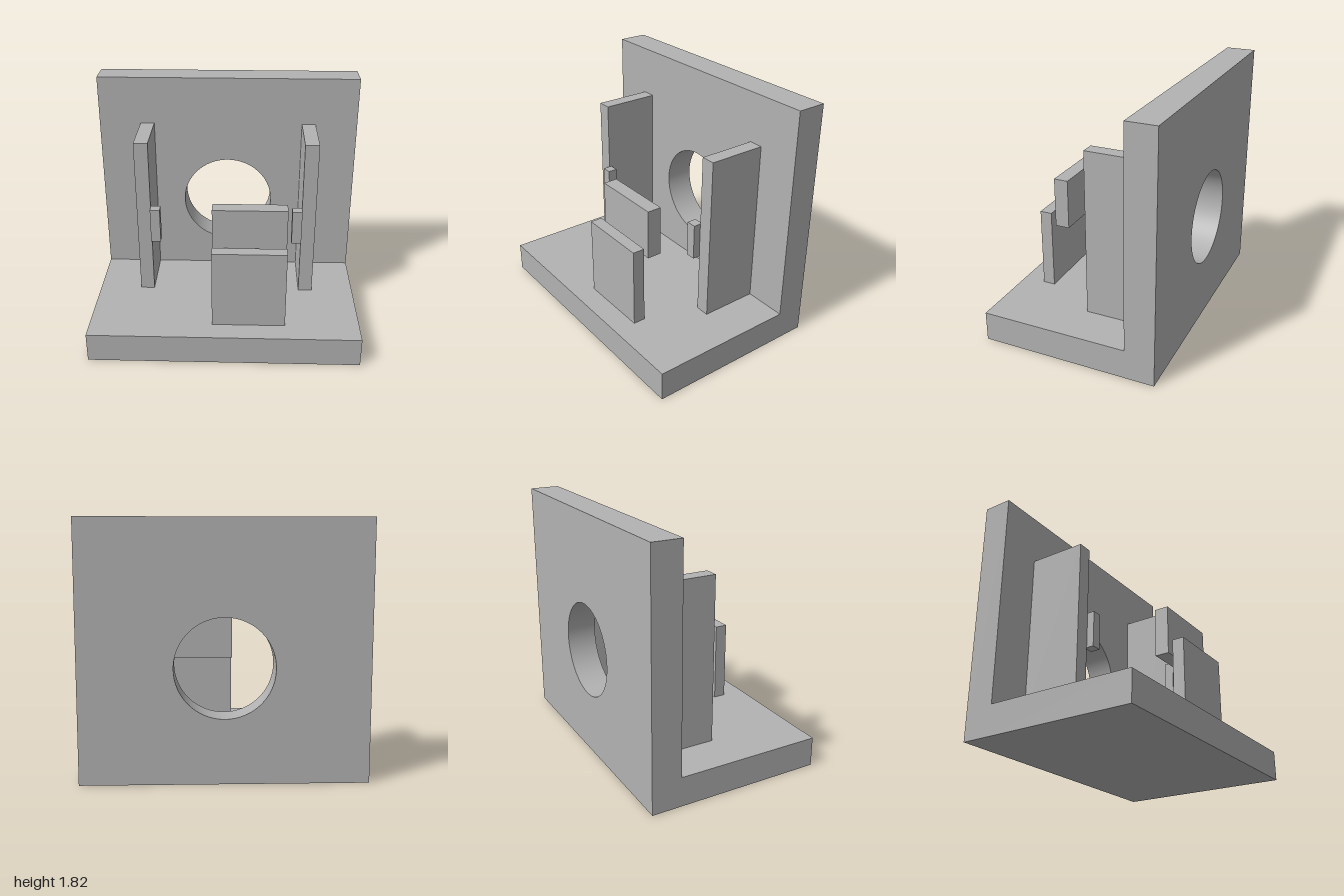
import * as THREE from 'three';
import { toCreasedNormals } from 'three/addons/utils/BufferGeometryUtils.js';

export function createModel() {
  const model = new THREE.Group();
  const grey = new THREE.MeshStandardMaterial({ color: 0xb2b2b2 });
  grey.name = 'plain grey';

  const add = (name, geometry) => {
    const mesh = new THREE.Mesh(geometry, grey);
    mesh.name = name;
    model.add(mesh);
    return mesh;
  };

  // Box given by its limits on each axis
  const block = (name, [x0, x1], [y0, y1], [z0, z1]) =>
    add(name, new THREE.BoxGeometry(x1 - x0, y1 - y0, z1 - z0))
      .position.set((x0 + x1) / 2, (y0 + y1) / 2, (z0 + z1) / 2);

  // Back wall with a round opening
  const outline = new THREE.Shape([
    new THREE.Vector2(-1, 0), new THREE.Vector2(1, 0),
    new THREE.Vector2(1, 1.82), new THREE.Vector2(-1, 1.82),
  ]);
  outline.holes.push(new THREE.Path().absarc(0, 0.806, 0.348, 0, Math.PI * 2, true));
  const wall = new THREE.ExtrudeGeometry(outline, { depth: 0.219, bevelEnabled: false, curveSegments: 64 });
  add('backWall', toCreasedNormals(wall, 0.6)).position.z = -0.654;

  // Floor slab in front of the wall
  block('floorSlab', [-1, 1], [0, 0.22], [-0.435, 0.654]);

  // Mirrored side panels, each with a small block on its inner front edge
  for (const [side, s] of [['left', 1], ['right', -1]]) {
    const span = (a, b) => (s > 0 ? [a, b] : [-b, -a]);
    block(side + 'Panel', span(0.574, 0.68), [0.22, 1.456], [-0.435, 0]);
    block(side + 'EdgeBlock', span(0.5, 0.574), [0.674, 0.941], [-0.016, 0.055]);
  }

  // Standing front plate and the raised plate behind it
  block('frontPlate', [-0.09, 0.45], [0.22, 0.82], [0.4, 0.49]);
  block('raisedPlate', [-0.09, 0.45], [0.73, 1.102], [0.257, 0.364]);

  return model;
}
